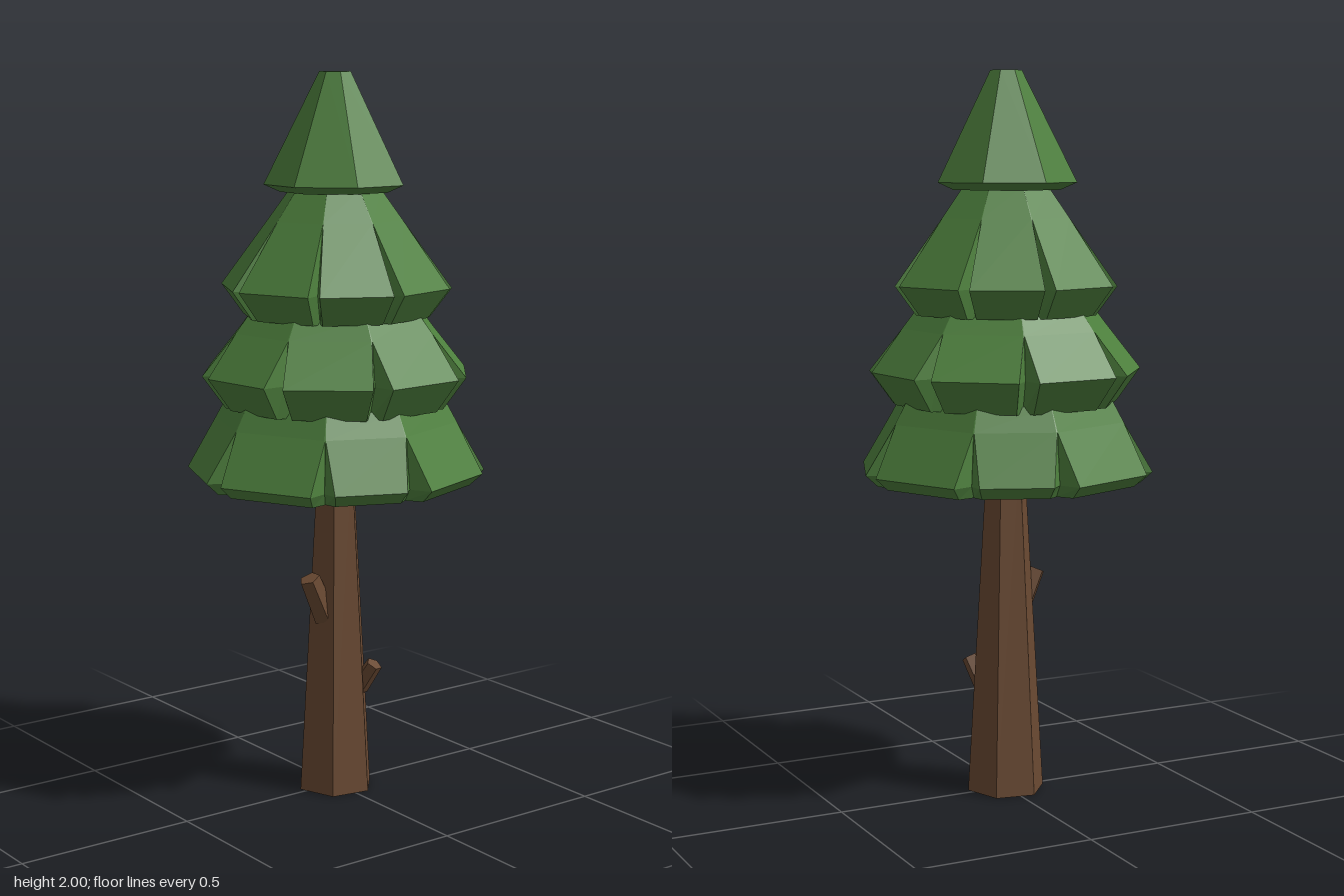
import * as THREE from 'three';

const rad = THREE.MathUtils.degToRad;
const foliage = new THREE.MeshStandardMaterial({ color: 0x4d7f3d, flatShading: true });
foliage.name = 'pine green';
const bark = new THREE.MeshStandardMaterial({ color: 0x694932, flatShading: true });
bark.name = 'bark brown';

// Angles are compass style: 0 = back (-z), 90 = +x
const polar = (r, deg, y) => [r * Math.sin(rad(deg)), y, -r * Math.cos(rad(deg))];

function part(name, geometry, material) {
  const mesh = new THREE.Mesh(geometry, material);
  mesh.name = name;
  return mesh;
}

// Skirt of eight broad teeth, separated by V-shaped notches
function skirt({ gaps, half, top, rim, lip, notch, reach = [1, 1, 1, 1] }) {
  const all = [...gaps, ...gaps.map((g) => g + 180)];
  const apex = [top[0] + (rim[0] - top[0]) * 0.32, top[1] + (rim[1] - top[1]) * 0.32];
  const columns = [];
  all.forEach((g, i) => {
    const before = reach[(i + 3) % 4], after = reach[i % 4];
    const side = (s, k) => [
      polar(top[0], g + s * 0.1, top[1]),
      polar(apex[0], g + s * 0.3, apex[1]),
      polar(rim[0] * k, g + s * half, rim[1]),
      polar(lip[0] * k, g + s * half, lip[1]),
    ];
    columns.push(side(-1, before));
    columns.push([
      polar(top[0], g, top[1]),
      polar(apex[0], g, apex[1]),
      polar(notch, g, rim[1]),
      polar(notch - (rim[0] - lip[0]) * 0.6, g, lip[1]),
    ]);
    columns.push(side(1, after));
  });
  const pos = [];
  const tri = (...p) => p.forEach((v) => pos.push(...v));
  columns.forEach((a, i) => {
    const b = columns[(i + 1) % columns.length];
    for (let r = 0; r < 3; r++) {
      tri(a[r], b[r], b[r + 1]);
      tri(a[r], b[r + 1], a[r + 1]);
    }
    tri([0, top[1], 0], b[0], a[0]);
    tri([0, lip[1], 0], a[3], b[3]);
  });
  const geometry = new THREE.BufferGeometry();
  geometry.setAttribute('position', new THREE.Float32BufferAttribute(pos, 3));
  geometry.computeVertexNormals();
  return geometry;
}

// Short sawn-off branch between two points
function stub(name, from, to, r) {
  const a = new THREE.Vector3(...from), b = new THREE.Vector3(...to);
  const mesh = part(name, new THREE.CylinderGeometry(r, r * 1.15, a.distanceTo(b), 5), bark);
  mesh.position.copy(a).lerp(b, 0.5);
  mesh.quaternion.setFromUnitVectors(new THREE.Vector3(0, 1, 0), b.sub(a).normalize());
  return mesh;
}

export function createModel() {
  const tree = new THREE.Group();
  tree.name = 'pineTree';

  // Trunk and branch stubs
  const trunk = part('trunk', new THREE.CylinderGeometry(0.054, 0.11, 0.95, 6, 1, false, rad(170)), bark);
  trunk.position.y = 0.475;
  tree.add(trunk);
  tree.add(stub('frontBranchStub', [0.012, 0.5, 0.045], [0.014, 0.62, 0.1], 0.03));
  tree.add(stub('sideBranchStub', [0.05, 0.29, -0.045], [0.094, 0.365, -0.066], 0.024));

  // Foliage, bottom to top
  tree.add(part('lowerFoliage', skirt({
    gaps: [-1.5, 44, 93, 131], half: 4.5, reach: [1, 1, 0.95, 1],
    top: [0.3, 1.12], rim: [0.411, 0.918], lip: [0.375, 0.885], notch: 0.355,
  }), foliage));
  tree.add(part('middleFoliage', skirt({
    gaps: [16, 61, 107, 152], half: 4.2,
    top: [0.245, 1.36], rim: [0.375, 1.19], lip: [0.31, 1.1], notch: 0.31,
  }), foliage));
  tree.add(part('upperFoliage', skirt({
    gaps: [2, 50, 95, 136.5], half: 2.8,
    top: [0.125, 1.69], rim: [0.32, 1.425], lip: [0.26, 1.345], notch: 0.265,
  }), foliage));

  // Seven-sided tip with a flat top
  const profile = [[0, 1.68], [0.15, 1.68], [0.195, 1.7], [0.044, 2], [0, 2]];
  tree.add(part('foliageTip', new THREE.LatheGeometry(
    profile.map(([x, y]) => new THREE.Vector2(x, y)), 7, rad(174)), foliage));
  return tree;
}
